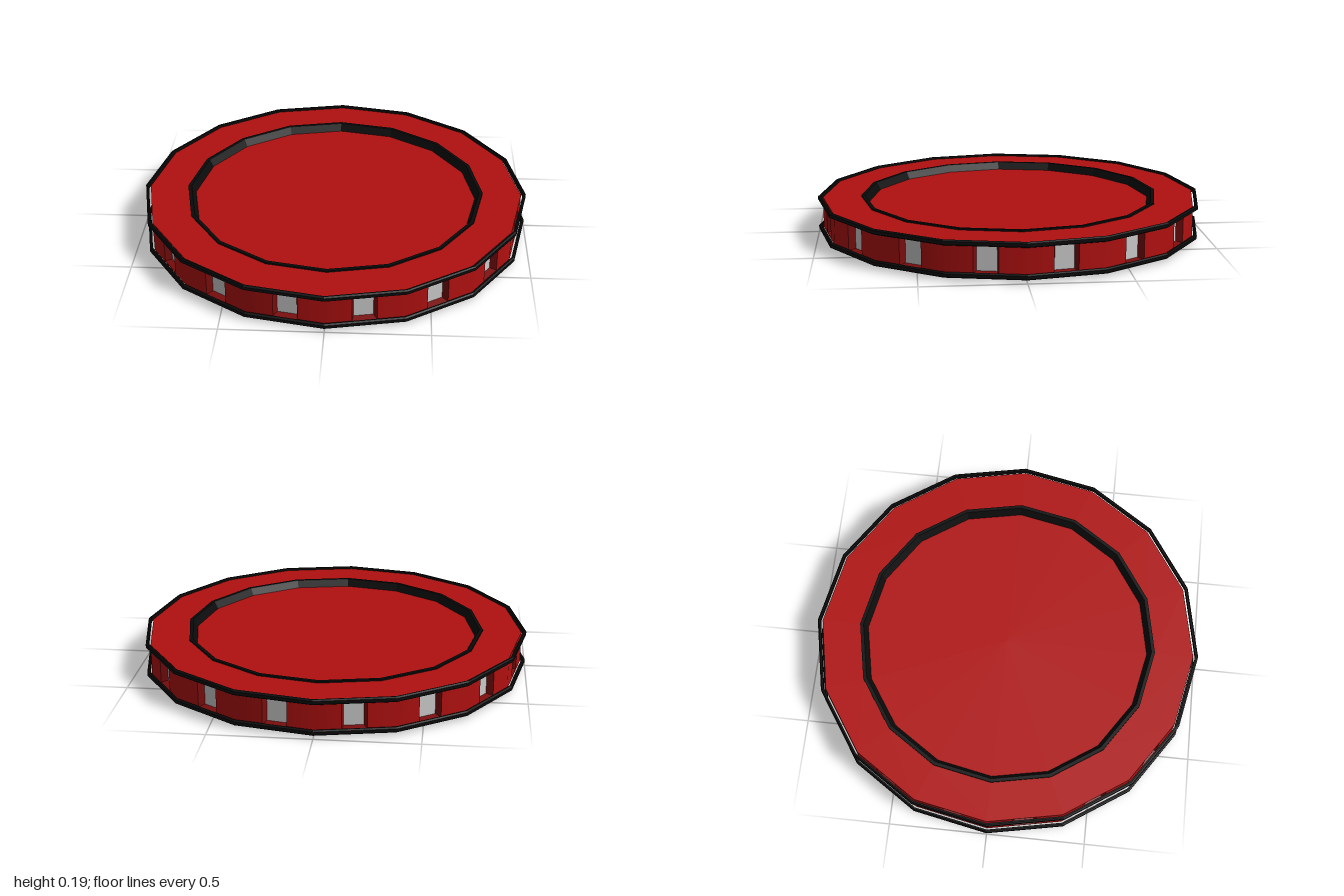
import * as THREE from 'three';

const SIDES = 16;
const R = 0.975, BOTTOM = 0.025, TOP = 0.185;

const paint = (color, flat = true) => new THREE.MeshStandardMaterial({ color, flatShading: flat });

// Revolve a [radius, height] profile into a sixteen-sided part
function turned(name, profile, material) {
  const points = profile.map(([r, y]) => new THREE.Vector2(r, y));
  const mesh = new THREE.Mesh(new THREE.LatheGeometry(points, SIDES), material);
  mesh.name = name;
  return mesh;
}

// Corners of an upright rectangle, counter-clockwise as seen from outside
const rect = (hw, y0, y1, z) => [[-hw, y0, z], [hw, y0, z], [hw, y1, z], [-hw, y1, z]];

// Four-sided band joining an outer rectangle to an inner one
function band(outer, inner) {
  const position = [];
  for (let i = 0; i < 4; i++) {
    const j = (i + 1) % 4;
    for (const p of [outer[i], outer[j], inner[j], outer[i], inner[j], inner[i]]) position.push(...p);
  }
  const geometry = new THREE.BufferGeometry();
  geometry.setAttribute('position', new THREE.Float32BufferAttribute(position, 3));
  geometry.computeVertexNormals();
  return geometry;
}

export function createModel() {
  const model = new THREE.Group();
  model.name = 'disc';
  const red = paint(0xb01010), redSmooth = paint(0xb01010, false);
  const darkRed = paint(0x7a0c0c), black = paint(0x0a0a0a), grey = paint(0xcccccc);

  // Top and bottom faces
  model.add(
    turned('topFace', [[R, TOP], [0.775, TOP]], red),
    turned('recessRim', [[0.775, TOP], [0.775, 0.193], [0.757, 0.193], [0.735, 0.155]], black),
    turned('recessFloor', [[0.735, 0.155], [0, 0.155]], red),
    turned('bottomFace', [[0.775, BOTTOM], [R, BOTTOM]], red),
    turned('bossEdge', [[0.735, 0], [0.775, BOTTOM]], black),
    turned('bossFace', [[0, 0], [0.735, 0]], red),
  );

  // Thin hoops standing just clear of the body
  for (const [name, y] of [['lowerHoop', 0.028], ['upperHoop', 0.182]]) {
    model.add(turned(name, [
      [0.985, y - 0.013], [0.993, y - 0.013], [1, y - 0.008], [1, y + 0.008],
      [0.993, y + 0.013], [0.985, y + 0.013], [0.985, y - 0.013],
    ], black));
  }

  // Side wall: one panel per side, each with a recessed window
  const half = Math.PI / SIDES;
  const z = R * Math.cos(half);
  const edge = rect(R * Math.sin(half), BOTTOM, TOP, z);
  const opening = rect(0.06, 0.03, 0.18, z);
  const back = rect(0.048, 0.038, 0.172, z - 0.034);

  // Wall normals point away from the axis so the side shades as one round surface
  const wall = band(edge, opening);
  const pos = wall.attributes.position, n = new THREE.Vector3();
  for (let i = 0; i < pos.count; i++) {
    n.set(pos.getX(i), 0, pos.getZ(i)).normalize();
    wall.attributes.normal.setXYZ(i, n.x, n.y, n.z);
  }
  const frame = band(opening, back);
  const pane = new THREE.PlaneGeometry(0.096, 0.134).translate(0, 0.105, z - 0.034);

  for (let k = 0; k < SIDES; k++) {
    const panel = new THREE.Group();
    panel.name = 'sidePanel';
    for (const [name, geometry, material] of [
      ['wall', wall, redSmooth], ['windowFrame', frame, darkRed], ['window', pane, grey],
    ]) {
      const mesh = new THREE.Mesh(geometry, material);
      mesh.name = name;
      panel.add(mesh);
    }
    panel.rotation.y = (2 * k + 1) * half;
    model.add(panel);
  }
  return model;
}
